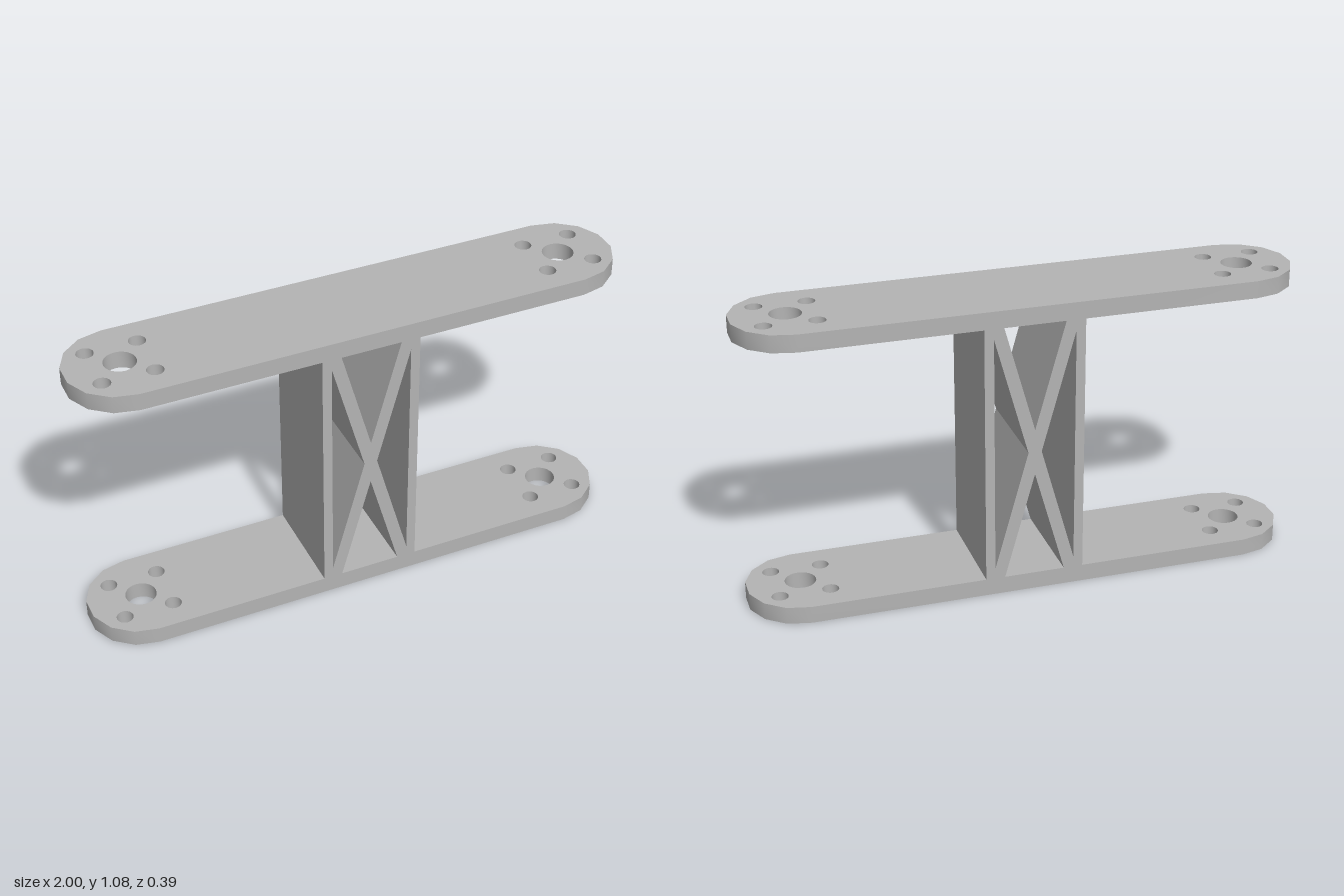
import * as THREE from 'three';
import { toCreasedNormals } from 'three/addons/utils/BufferGeometryUtils.js';

const WIDTH = 0.39, HEIGHT = 1.08, THICK = 0.063;
const END_X = 0.81, RADIUS = WIDTH / 2;

const grey = new THREE.MeshStandardMaterial({ color: 0xb4b4b4 });
grey.name = 'grey';

const points = (list) => list.map(([x, y]) => new THREE.Vector2(x, y));

// Long plate with rounded ends and a bolt pattern at each end
function plateGeometry() {
  const outline = [], segments = 7;
  for (const side of [1, -1]) {
    for (let i = 0; i <= segments; i++) {
      const a = -Math.PI / 2 + (i / segments) * Math.PI;
      outline.push([side * (END_X + RADIUS * Math.cos(a)), side * RADIUS * Math.sin(a)]);
    }
  }
  const shape = new THREE.Shape(points(outline));
  const hole = (x, y, r) =>
    shape.holes.push(new THREE.Path().absarc(x, y, r, 0, Math.PI * 2, true));
  for (const side of [1, -1]) {
    hole(side * END_X, 0, 0.056);
    for (const dx of [-0.09, 0.09])
      for (const dy of [-0.09, 0.09]) hole(side * END_X + dx, dy, 0.03);
  }
  const geometry = new THREE.ExtrudeGeometry(shape, { depth: THICK, bevelEnabled: false, curveSegments: 12 });
  geometry.rotateX(-Math.PI / 2);
  return toCreasedNormals(geometry, 0.7);
}

// Column section: two walls joined by a diagonal cross
function columnGeometry() {
  const bottom = THICK, top = HEIGHT - THICK, mid = HEIGHT / 2;
  const wall = 0.18, inner = 0.146, notch = 0.11, gap = 0.085;
  // The upper and lower openings are notches in the outline
  const shape = new THREE.Shape(points([
    [-wall, bottom], [-notch, bottom], [0, mid - gap], [notch, bottom], [wall, bottom],
    [wall, top], [notch, top], [0, mid + gap], [-notch, top], [-wall, top],
  ]));
  // Side openings
  for (const s of [1, -1]) {
    shape.holes.push(new THREE.Path(points([
      [s * inner, mid - 0.438], [s * inner, mid + 0.438], [s * 0.024, mid],
    ])));
  }
  const geometry = new THREE.ExtrudeGeometry(shape, { depth: WIDTH, bevelEnabled: false });
  return geometry.translate(0, 0, -WIDTH / 2);
}

export function createModel() {
  const group = new THREE.Group();
  group.name = 'bracket';

  const plate = plateGeometry();
  for (const [name, y] of [['lowerPlate', 0], ['upperPlate', HEIGHT - THICK]]) {
    const mesh = new THREE.Mesh(plate, grey);
    mesh.name = name;
    mesh.position.y = y;
    group.add(mesh);
  }

  const column = new THREE.Mesh(columnGeometry(), grey);
  column.name = 'crossBracedColumn';
  group.add(column);
  return group;
}
